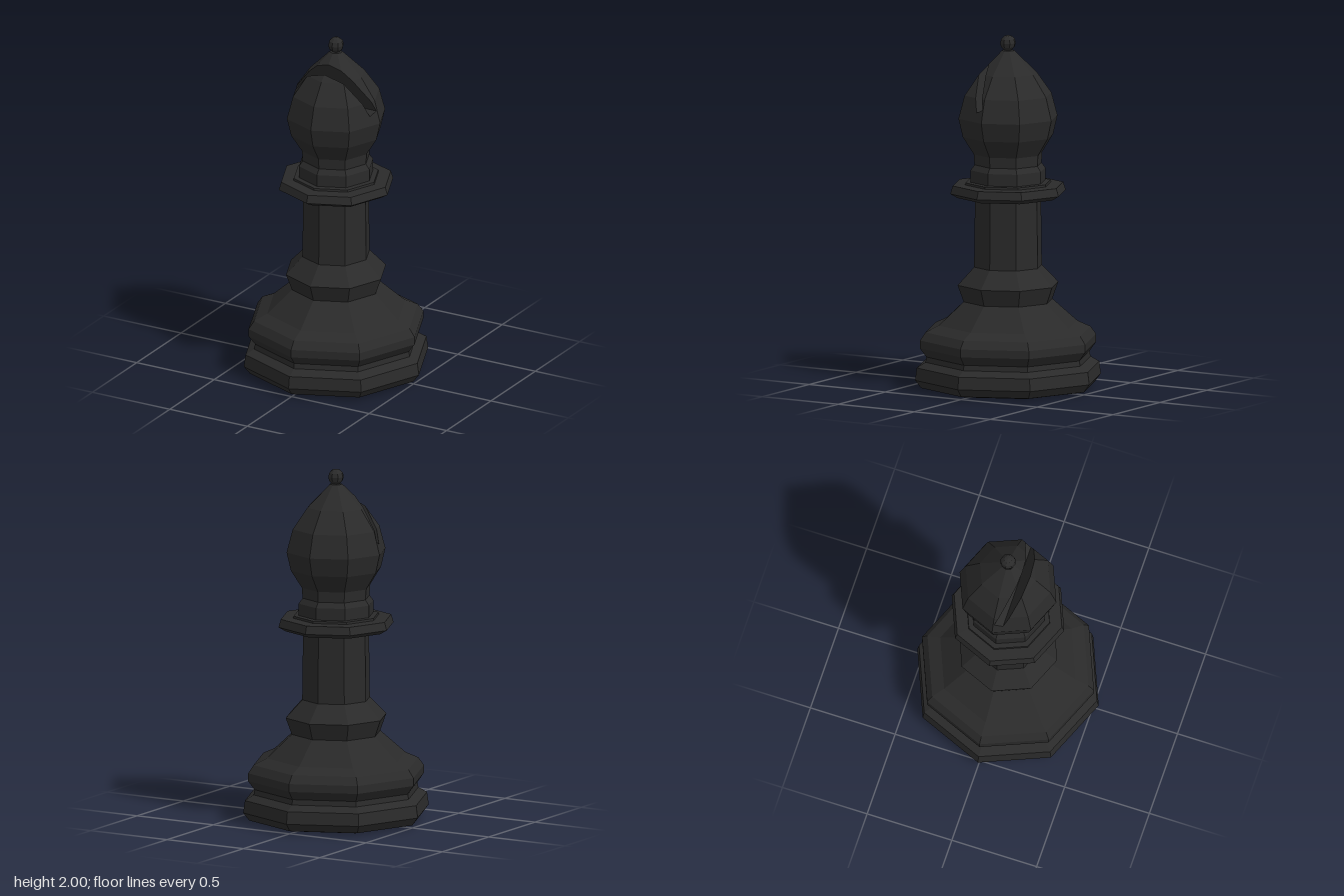
import * as THREE from 'three';

const SIDES = 8;
const material = new THREE.MeshStandardMaterial({ color: 0x2a2a2a, flatShading: true });

// Eight-sided turned part from [radius, height] pairs, bottom to top
function turned(name, profile) {
  const points = profile.map(([r, y]) => new THREE.Vector2(r, y));
  const mesh = new THREE.Mesh(new THREE.LatheGeometry(points, SIDES), material);
  mesh.name = name;
  return mesh;
}

// Outer faces of a turned shape as a list of quads
function turnedFaces(profile) {
  const at = ([r, y], i) => {
    const a = (i / SIDES) * Math.PI * 2;
    return new THREE.Vector3(r * Math.sin(a), y, r * Math.cos(a));
  };
  const faces = [];
  for (let j = 0; j < profile.length - 1; j++) {
    for (let i = 0; i < SIDES; i++) {
      faces.push([at(profile[j], i), at(profile[j], i + 1), at(profile[j + 1], i + 1), at(profile[j + 1], i)]);
    }
  }
  return faces;
}

// Keeps the part of convex faces behind a plane; optionally closes the cut
function clip(faces, plane, capped) {
  const kept = [], rim = [];
  for (const face of faces) {
    const out = [];
    face.forEach((a, i) => {
      const b = face[(i + 1) % face.length];
      const da = plane.distanceToPoint(a), db = plane.distanceToPoint(b);
      if (da <= 0) out.push(a);
      if (da * db < 0) {
        const p = a.clone().lerp(b, da / (da - db));
        out.push(p);
        rim.push(p);
      }
    });
    if (out.length > 2) kept.push(out);
  }
  if (capped && rim.length > 2) {
    const centre = rim.reduce((s, p) => s.add(p), new THREE.Vector3()).divideScalar(rim.length);
    const u = new THREE.Vector3(1, 0, 0);
    const v = plane.normal.clone().cross(u);
    const angle = (p) => {
      const d = p.clone().sub(centre);
      return Math.atan2(d.dot(v), d.dot(u));
    };
    kept.push(rim.sort((p, q) => angle(p) - angle(q)));
  }
  return kept;
}

function facesMesh(name, faces) {
  const pos = [];
  for (const f of faces) {
    for (let i = 1; i < f.length - 1; i++) {
      for (const p of [f[0], f[i], f[i + 1]]) pos.push(p.x, p.y, p.z);
    }
  }
  const geometry = new THREE.BufferGeometry();
  geometry.setAttribute('position', new THREE.Float32BufferAttribute(pos, 3));
  geometry.computeVertexNormals();
  const mesh = new THREE.Mesh(geometry, material);
  mesh.name = name;
  return mesh;
}

// Plane running along x through two [z, y] points
function planeAlongX([z1, y1], [z2, y2]) {
  const normal = new THREE.Vector3(0, z2 - z1, y1 - y2).normalize();
  return new THREE.Plane().setFromNormalAndCoplanarPoint(normal, new THREE.Vector3(0, y1, z1));
}

export function createModel() {
  const group = new THREE.Group();
  group.name = 'chessBishop';

  group.add(
    turned('base', [
      [0, 0], [0.45, 0.005], [0.5, 0.015], [0.535, 0.06], [0.525, 0.13], [0.475, 0.16],
      [0.47, 0.19], [0.507, 0.24], [0.507, 0.285], [0.475, 0.33], [0.4, 0.365], [0.255, 0.495],
    ]),
    turned('stem', [[0.255, 0.495], [0.29, 0.59], [0.195, 0.69], [0.19, 1.075]]),
    turned('collar', [
      [0.19, 1.07], [0.29, 1.085], [0.332, 1.11], [0.318, 1.155], [0.247, 1.158], [0.245, 1.17], [0.215, 1.172],
    ]),
    turned('neck', [
      [0.215, 1.172], [0.215, 1.24], [0.193, 1.27], [0.197, 1.33], [0.26, 1.43], [0.285, 1.535],
    ]),
  );

  // Pointed head with a slanted slot sawn across it
  const head = turnedFaces([[0.285, 1.535], [0.25, 1.665], [0.165, 1.785], [0.035, 1.913], [0.001, 1.915]]);
  const slotFront = planeAlongX([0.053, 1.587], [0.13, 1.815]);
  const slotBack = planeAlongX([0.085, 1.86], [0.005, 1.608]);
  const slotFloor = planeAlongX([0.053, 1.587], [0.005, 1.608]);
  if (slotFloor.normal.y < 0) slotFloor.negate();
  // Both wall planes face into the slot
  if (slotFront.normal.z > 0) slotFront.negate();
  if (slotBack.normal.z < 0) slotBack.negate();
  const between = clip(clip(head, slotFront.clone().negate(), false), slotBack.clone().negate(), false);
  group.add(
    facesMesh('headFront', clip(head, slotFront, true)),
    facesMesh('headBack', clip(head, slotBack, true)),
    facesMesh('headSlotFloor', clip(between, slotFloor, true)),
  );

  // Small ball on top
  const finial = new THREE.Mesh(new THREE.SphereGeometry(0.045, SIDES, 6), material);
  finial.name = 'finial';
  finial.position.y = 1.955;
  group.add(finial);

  return group;
}
